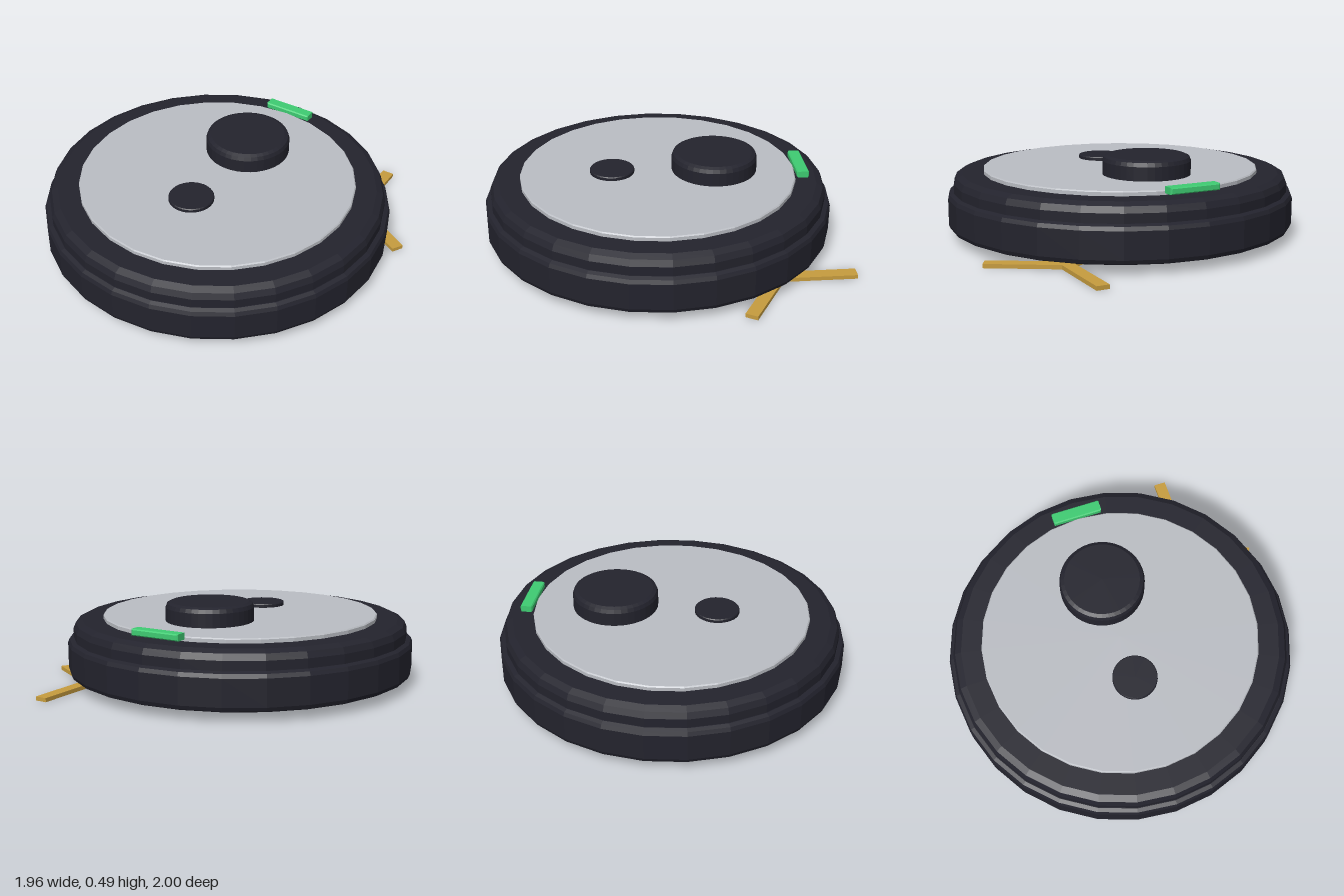
import * as THREE from 'three';

export function createModel() {
  const model = new THREE.Group();
  const flat = (name, color) => {
    const m = new THREE.MeshStandardMaterial({ color, flatShading: true });
    m.name = name;
    return m;
  };
  const charcoal = flat('charcoal plastic', 0x23232d);
  const silver = flat('silver lid', 0xbabdc3);
  const green = flat('green light', 0x3ecb72);
  const gold = flat('gold bristle', 0xc69c3e);

  const add = (name, geometry, material, x, y, z, parent = model) => {
    const mesh = new THREE.Mesh(geometry, material);
    mesh.name = name;
    mesh.position.set(x, y, z);
    parent.add(mesh);
    return mesh;
  };
  // Turned part: [radius, height] pairs from bottom centre to top centre
  const turned = (points, sides) =>
    new THREE.LatheGeometry(points.map(([r, y]) => new THREE.Vector2(r, y)), sides);

  const cx = -0.004, cz = 0.02;

  // Wide lower shell with softened rims
  add('bumperRing', turned([
    [0, 0.05], [0.945, 0.05], [0.966, 0.059], [0.975, 0.08],
    [0.975, 0.225], [0.966, 0.246], [0.945, 0.255], [0, 0.255],
  ], 28), charcoal, cx, 0, cz);

  // Narrower upper shell
  add('upperBody', turned([
    [0, 0.2], [0.942, 0.2], [0.942, 0.305], [0.928, 0.338],
    [0.892, 0.355], [0, 0.355],
  ], 28), charcoal, cx, 0, cz);

  // Thin lid disc
  add('lid', turned([
    [0, 0.345], [0.775, 0.345], [0.775, 0.374], [0.769, 0.38], [0, 0.38],
  ], 28), silver, cx, 0, cz);

  // Sensor turret and round button
  add('sensorTurret', turned([
    [0, 0.37], [0.24, 0.37], [0.24, 0.455], [0.232, 0.476], [0.212, 0.485], [0, 0.485],
  ], 40), charcoal, cx, 0, -0.3);
  add('powerButton', turned([
    [0, 0.37], [0.125, 0.37], [0.125, 0.396], [0.121, 0.401], [0, 0.401],
  ], 32), charcoal, cx, 0, 0.277);

  // Status light bar with chamfered edges
  const bar = new THREE.Shape();
  const w = 0.137, h = 0.012;
  bar.moveTo(-w, -h).lineTo(w, -h).lineTo(w, h).lineTo(-w, h).closePath();
  const barGeometry = new THREE.ExtrudeGeometry(bar, {
    depth: 0.056, bevelEnabled: true, bevelThickness: 0.006, bevelSize: 0.006, bevelSegments: 1,
  });
  barGeometry.translate(0, 0, -0.028);
  add('statusLight', barGeometry, green, cx, 0.386, -0.785);

  // Three-armed side brush under the rim
  const brush = new THREE.Group();
  brush.name = 'sideBrush';
  brush.position.set(0.6, 0.011, -0.583);
  model.add(brush);
  const armLength = 0.417;
  for (let i = 0; i < 3; i++) {
    const arm = new THREE.BoxGeometry(0.068, 0.022, armLength);
    arm.translate(0, 0, -armLength / 2);
    add('brushArm' + (i + 1), arm, gold, 0, 0, 0, brush).rotation.y = i * Math.PI * 2 / 3;
  }

  return model;
}
